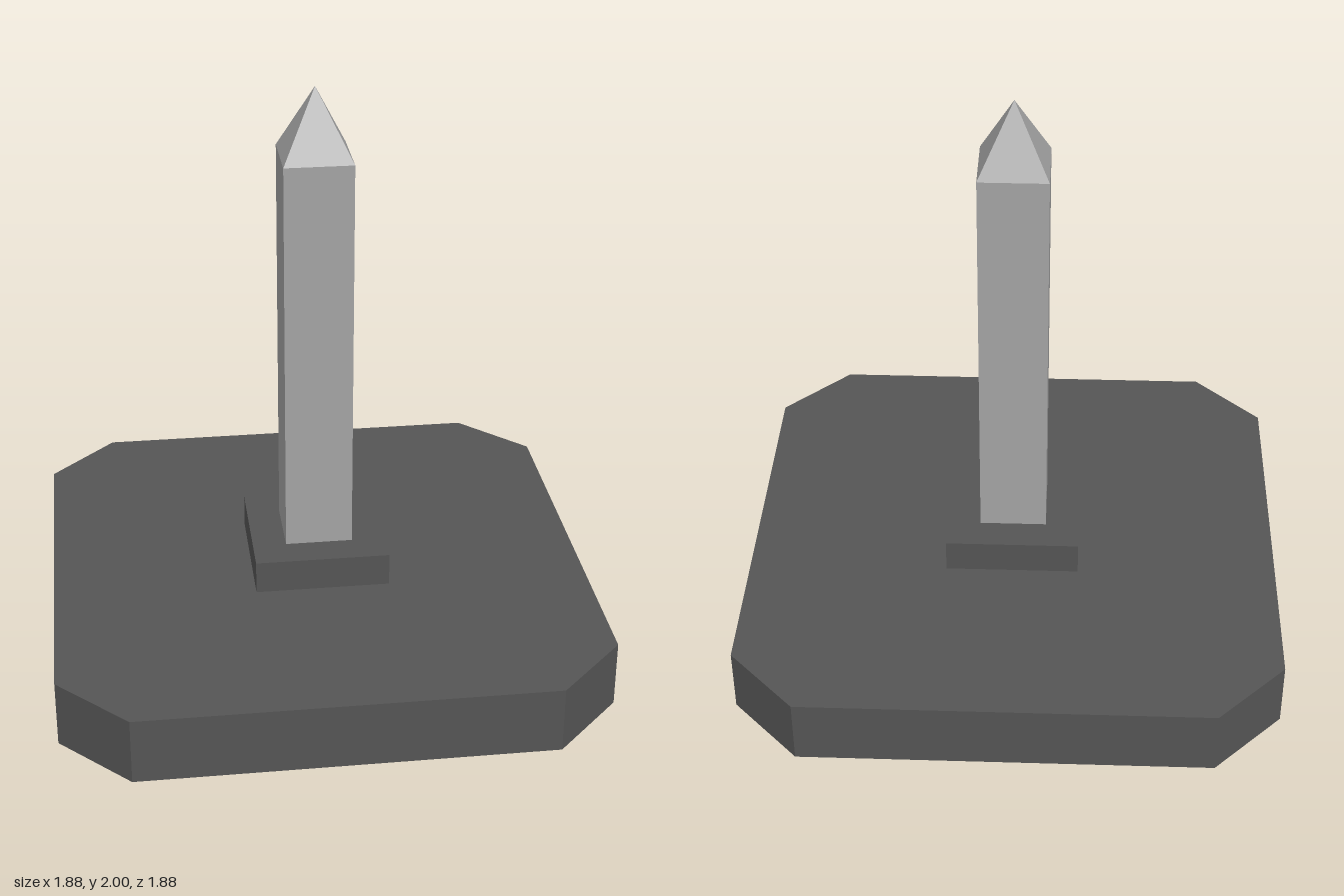
import * as THREE from 'three';

export function createModel() {
  const model = new THREE.Group();
  const u = 2 / 17; // the whole model is 17 units tall

  const darkStone = new THREE.MeshStandardMaterial({ color: 0x555555 });
  darkStone.name = 'dark stone';
  const paleStone = new THREE.MeshStandardMaterial({ color: 0xa4a4a4 });
  paleStone.name = 'pale stone';

  function add(name, geometry, material, y) {
    const mesh = new THREE.Mesh(geometry, material);
    mesh.name = name;
    mesh.position.y = y;
    model.add(mesh);
    return mesh;
  }

  // Square slab with cut corners
  const h = 8 * u, c = 6 * u;
  const outline = new THREE.Shape([
    [h, -c], [h, c], [c, h], [-c, h], [-h, c], [-h, -c], [-c, -h], [c, -h],
  ].map(([x, y]) => new THREE.Vector2(x, y)));
  const slab = new THREE.ExtrudeGeometry(outline, { depth: 2 * u, bevelEnabled: false });
  slab.rotateX(-Math.PI / 2);
  add('base', slab, darkStone, 0);

  // Plinth under the shaft
  add('plinth', new THREE.BoxGeometry(4 * u, u, 4 * u), darkStone, 2.5 * u);

  // Square shaft
  add('shaft', new THREE.BoxGeometry(2 * u, 12 * u, 2 * u), paleStone, 9 * u);

  // Four-sided pyramid on top, with flat faces
  const pyramid = new THREE.ConeGeometry(Math.SQRT2 * u, 2 * u, 4, 1, true).rotateY(Math.PI / 4).toNonIndexed();
  pyramid.computeVertexNormals();
  add('tip', pyramid, paleStone, 16 * u);

  return model;
}
